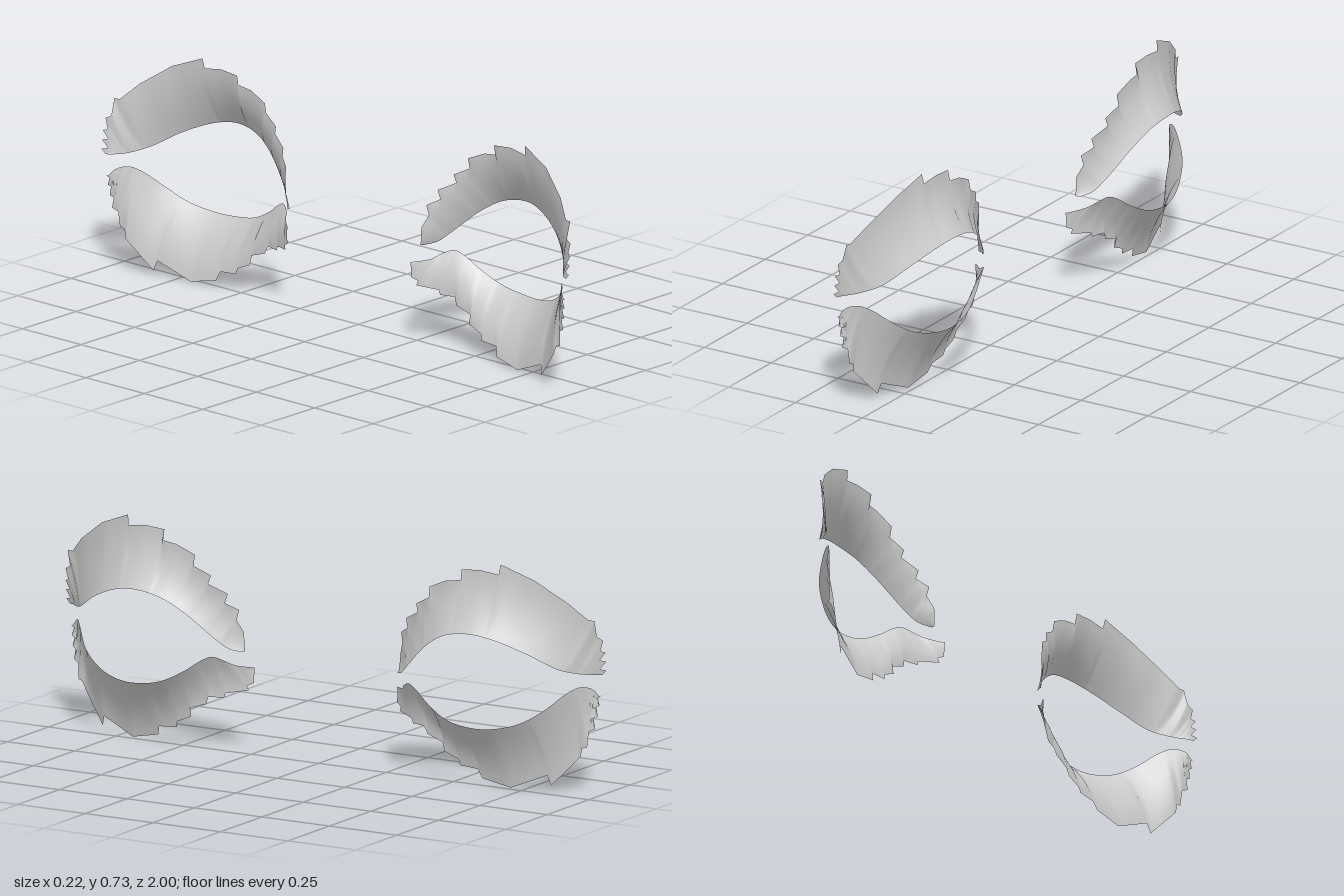
import * as THREE from 'three';

// Smooth rim beside the eye opening: [z, y, x]
const upperRim = [
  [0.97, 0.385, -0.1], [0.93, 0.39, -0.06], [0.88, 0.41, -0.005], [0.8, 0.46, 0.05],
  [0.7, 0.502, 0.092], [0.62, 0.515, 0.109], [0.53, 0.5, 0.103], [0.45, 0.455, 0.083],
  [0.36, 0.375, 0.045], [0.32, 0.34, 0.02], [0.285, 0.328, -0.01],
];
const lowerRim = [
  [0.975, 0.315, -0.105], [0.955, 0.338, -0.095], [0.93, 0.347, -0.065], [0.9, 0.33, -0.03],
  [0.85, 0.28, 0.02], [0.78, 0.235, 0.055], [0.7, 0.213, 0.083], [0.62, 0.21, 0.097],
  [0.53, 0.225, 0.093], [0.45, 0.265, 0.076], [0.4, 0.3, 0.062], [0.365, 0.315, 0.05],
  [0.33, 0.3, 0.025], [0.31, 0.285, 0.0], [0.265, 0.275, -0.04],
];

// Jagged outer edge: [z, y, x, matching position along the rim]
const upperEdge = [
  [0.985, 0.385, -0.105, 0], [1, 0.4, -0.108, 0.1], [0.98, 0.405, -0.1, 0.15],
  [1, 0.43, -0.105, 0.35], [0.98, 0.435, -0.097, 0.4], [1, 0.46, -0.102, 0.6],
  [0.985, 0.465, -0.095, 0.65], [0.995, 0.5, -0.095, 0.95], [0.975, 0.51, -0.09, 1],
  [0.975, 0.565, -0.075, 1.6], [0.955, 0.565, -0.072, 1.7], [0.9, 0.62, -0.038, 2.4],
  [0.8, 0.69, 0.003, 3.3], [0.69, 0.733, 0.025, 4.2], [0.685, 0.7, 0.03, 4.25],
  [0.62, 0.709, 0.035, 4.9], [0.55, 0.703, 0.034, 5.6], [0.553, 0.67, 0.043, 5.65],
  [0.5, 0.663, 0.044, 6], [0.435, 0.635, 0.038, 6.5], [0.435, 0.6, 0.045, 6.55],
  [0.38, 0.572, 0.03, 7.1], [0.388, 0.545, 0.035, 7.15], [0.33, 0.515, 0.01, 7.7],
  [0.338, 0.485, 0.015, 7.8], [0.3, 0.463, -0.01, 8.4], [0.307, 0.43, -0.005, 8.5],
  [0.29, 0.39, -0.022, 9], [0.285, 0.33, -0.02, 10],
];
const lowerEdge = [
  [0.98, 0.315, -0.107, 0], [0.96, 0.305, -0.1, 0.3], [0.977, 0.285, -0.103, 0.6],
  [0.955, 0.275, -0.094, 0.8], [0.972, 0.25, -0.1, 1.1], [0.95, 0.24, -0.09, 1.3],
  [0.965, 0.21, -0.097, 1.7], [0.945, 0.2, -0.09, 1.9], [0.942, 0.15, -0.085, 2.5],
  [0.925, 0.145, -0.083, 2.6], [0.915, 0.115, -0.088, 3], [0.83, 0.02, -0.051, 4.6],
  [0.82, 0.053, -0.043, 4.7], [0.7, 0.004, -0.02, 6.1], [0.6, 0.025, -0.01, 7.3],
  [0.59, 0.055, 0, 7.4], [0.525, 0.06, 0, 8.1], [0.52, 0.08, 0.005, 8.2],
  [0.47, 0.1, 0.006, 8.8], [0.47, 0.13, 0.015, 8.9], [0.41, 0.15, 0.01, 9.7],
  [0.4, 0.175, 0.015, 9.9], [0.35, 0.175, 0, 11], [0.345, 0.19, 0, 11.1],
  [0.28, 0.2, -0.035, 12.8], [0.285, 0.215, -0.032, 12.9], [0.265, 0.225, -0.042, 13.4],
  [0.265, 0.275, -0.045, 14],
];

const toVector = ([z, y, x]) => new THREE.Vector3(x, y, z);

// Loft a slightly hollow sheet from the rim out to the jagged edge
function lidGeometry(rim, edge, side, flip) {
  const curve = new THREE.CatmullRomCurve3(rim.map(toVector));
  const last = rim.length - 1;
  const rows = 8;
  const positions = [], indices = [];
  let columns = 0;

  const addColumn = (outer, k) => {
    const t = k / last;
    const inner = curve.getPoint(t);
    const hollow = 0.017 * Math.sin(Math.PI * t);
    for (let j = 0; j <= rows; j++) {
      const v = j / rows;
      const p = inner.clone().lerp(outer, v);
      positions.push(p.x - 4 * v * (1 - v) * hollow, p.y, p.z * side);
    }
    columns++;
  };

  for (let i = 0; i < edge.length - 1; i++) {
    const a = toVector(edge[i]), b = toVector(edge[i + 1]);
    const ka = edge[i][3], kb = edge[i + 1][3];
    const steps = Math.ceil((kb - ka) / 0.2);
    for (let s = 0; s < steps; s++) {
      const f = s / steps;
      addColumn(a.clone().lerp(b, f), ka + (kb - ka) * f);
    }
  }
  addColumn(toVector(edge[edge.length - 1]), last);

  for (let i = 0; i < columns - 1; i++) {
    for (let j = 0; j < rows; j++) {
      const a = i * (rows + 1) + j, b = a + rows + 1;
      if (flip) indices.push(a, a + 1, b, b, a + 1, b + 1);
      else indices.push(a, b, a + 1, b, b + 1, a + 1);
    }
  }
  const geometry = new THREE.BufferGeometry();
  geometry.setAttribute('position', new THREE.Float32BufferAttribute(positions, 3));
  geometry.setIndex(indices);
  geometry.computeVertexNormals();
  return geometry;
}

export function createModel() {
  const model = new THREE.Group();
  model.name = 'eyelashes';
  const material = new THREE.MeshStandardMaterial({ color: 0xcccccc, side: THREE.DoubleSide });

  // A mirrored pair of upper and lower lash sheets
  for (const side of [1, -1]) {
    const eye = new THREE.Group();
    eye.name = side > 0 ? 'frontEyeLashes' : 'backEyeLashes';
    const upper = new THREE.Mesh(lidGeometry(upperRim, upperEdge, side, side < 0), material);
    upper.name = 'upperLash';
    const lower = new THREE.Mesh(lidGeometry(lowerRim, lowerEdge, side, side > 0), material);
    lower.name = 'lowerLash';
    eye.add(upper, lower);
    model.add(eye);
  }
  return model;
}
